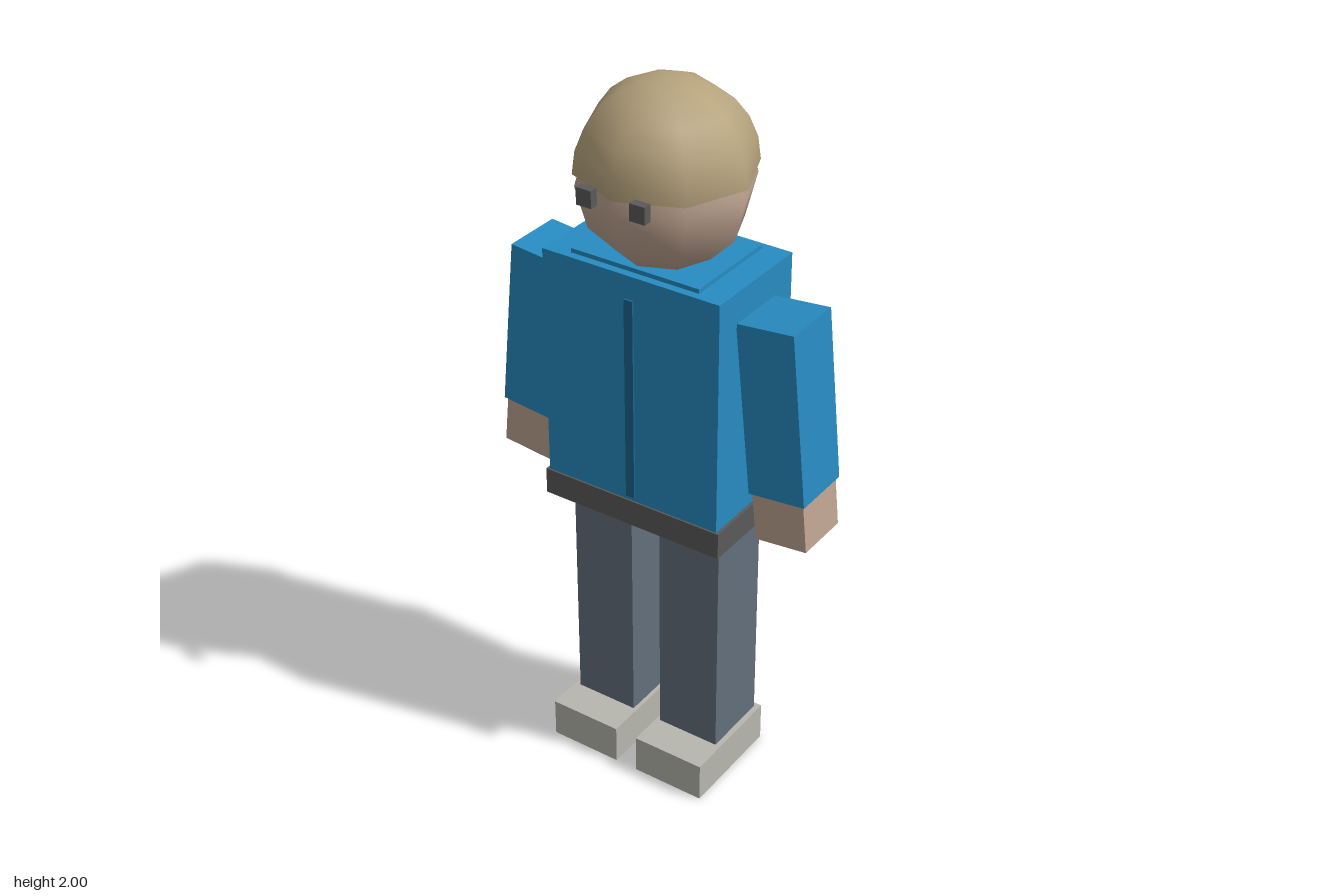
import * as THREE from 'three';

const material = (color) => new THREE.MeshStandardMaterial({ color });

export function createModel() {
  const model = new THREE.Group();
  model.name = 'figure';

  const jacket = material(0x288cc2);
  const jacketDark = material(0x1b6690);
  const dark = material(0x5a5a5a);
  const trousers = material(0x64707c);
  const skin = material(0xc0a592);
  const hair = material(0xb5a27c);
  const shoe = material(0xb8b7ae);

  function add(parent, name, geometry, mat, x, y, z) {
    const mesh = new THREE.Mesh(geometry, mat);
    mesh.name = name;
    mesh.position.set(x, y, z);
    parent.add(mesh);
    return mesh;
  }
  const box = (parent, name, mat, w, h, d, x, y, z) =>
    add(parent, name, new THREE.BoxGeometry(w, h, d), mat, x, y, z);

  // Jacket body with collar, zip and waistband
  box(model, 'torso', jacket, 0.526, 0.66, 0.33, 0, 1.21, -0.002);
  box(model, 'collar', jacket, 0.38, 0.05, 0.286, 0, 1.527, -0.002);
  box(model, 'zip', jacketDark, 0.026, 0.58, 0.02, 0, 1.185, 0.158);
  box(model, 'waistband', dark, 0.544, 0.075, 0.34, 0, 0.845, -0.002);

  // Head: eight-sided smooth sphere with a half-sphere of hair
  add(model, 'head', new THREE.SphereGeometry(0.228, 8, 6), skin, 0, 1.735, -0.002);
  const hairMat = hair;
  hairMat.side = THREE.DoubleSide;
  add(model, 'hair', new THREE.SphereGeometry(0.233, 8, 6, 0, Math.PI * 2, 0, Math.PI / 2),
    hairMat, 0, 1.768, -0.002);

  // Paired parts
  for (const [side, s] of [['left', 1], ['right', -1]]) {
    box(model, side + 'Eye', dark, 0.044, 0.046, 0.024, s * 0.077, 1.758, 0.224);
    box(model, side + 'Leg', trousers, 0.186, 0.72, 0.2, s * 0.138, 0.47, -0.001);
    box(model, side + 'Shoe', shoe, 0.213, 0.114, 0.315, s * 0.14, 0.057, 0.043);

    // Arm swings slightly outwards
    const arm = new THREE.Group();
    arm.name = side + 'Arm';
    arm.position.set(s * 0.366, 1.224, -0.002);
    arm.rotation.z = s * 0.1;
    box(arm, side + 'Sleeve', jacket, 0.163, 0.48, 0.174, 0, 0, 0);
    box(arm, side + 'Hand', skin, 0.15, 0.14, 0.16, 0, -0.307, 0);
    model.add(arm);
  }

  return model;
}
